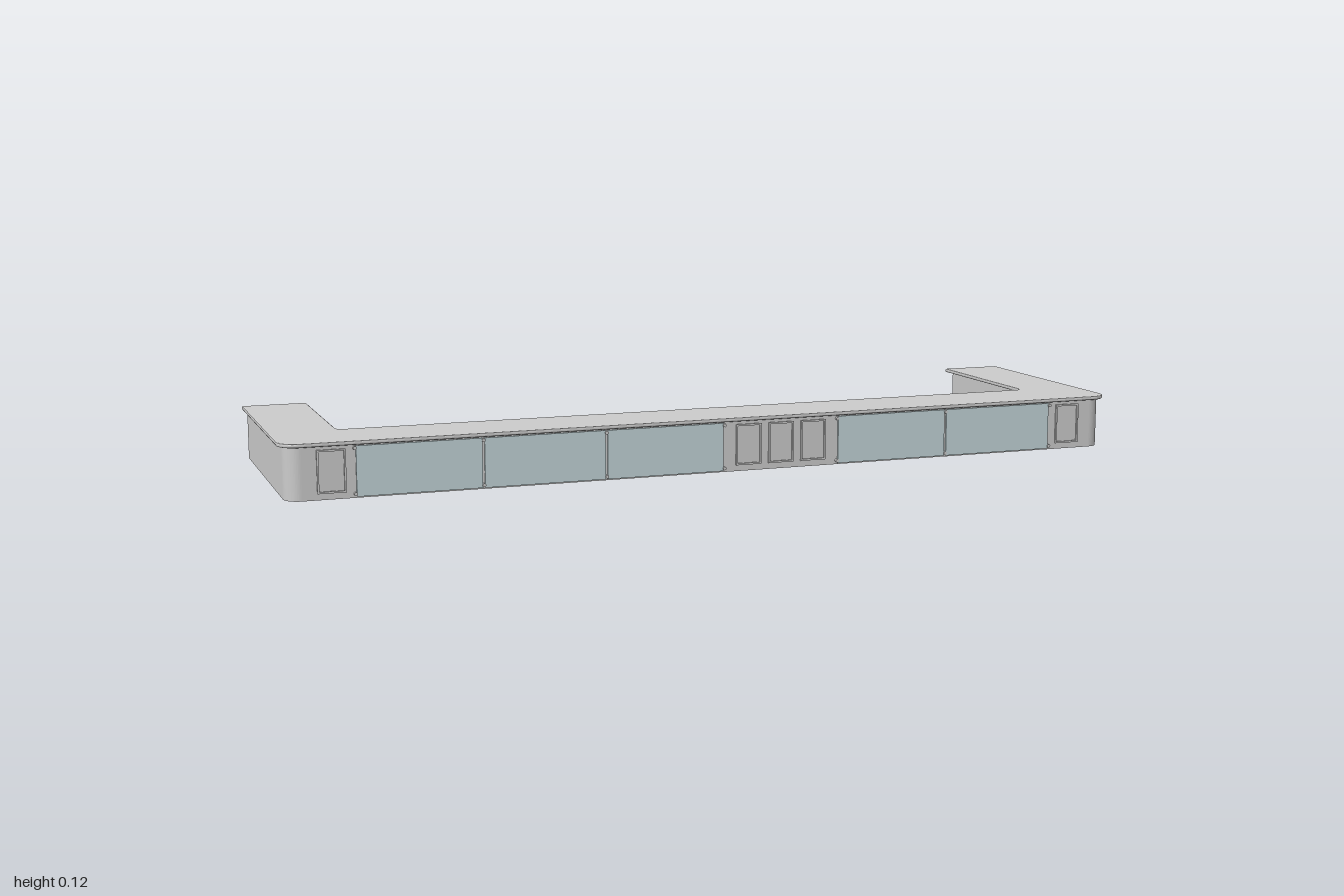
import * as THREE from 'three';

const grey = new THREE.MeshStandardMaterial({ color: 0xcccccc, side: THREE.DoubleSide });
const glass = new THREE.MeshStandardMaterial({ color: 0xc2d4d8 });
const BACK = -0.28;
const BODY_H = 0.116;
const PITCH = 0.28;

export function createModel() {
  const group = new THREE.Group();

  const add = (name, geometry, x = 0, y = 0, z = 0, material = grey) => {
    const mesh = new THREE.Mesh(geometry, material);
    mesh.name = name;
    mesh.position.set(x, y, z);
    group.add(mesh);
    return mesh;
  };
  const box = (name, w, h, d, x, y, z, material) =>
    add(name, new THREE.BoxGeometry(w, h, d), x, y, z, material);

  // U-shaped path in plan: back end, round the two front corners, other back end
  const uPoints = (hx, front, r, back = BACK) => {
    const p = new THREE.Path();
    p.moveTo(-hx, back);
    p.lineTo(-hx, front - r);
    p.absarc(-hx + r, front - r, r, Math.PI, Math.PI / 2, true);
    p.lineTo(hx - r, front);
    p.absarc(hx - r, front - r, r, Math.PI / 2, 0, true);
    p.lineTo(hx, back);
    return p.getPoints(8);
  };
  // Plan shape (x, z) raised into a solid from y0 by h
  const slab = (name, points, y0, h, bevel = 0) => {
    const g = new THREE.ExtrudeGeometry(new THREE.Shape(points), {
      depth: h - 2 * bevel, bevelEnabled: bevel > 0,
      bevelSize: bevel, bevelThickness: bevel, bevelSegments: 2,
    });
    g.rotateX(Math.PI / 2);
    return add(name, g, 0, y0 + h - bevel, 0);
  };
  const band = (outer, inner) => [...outer, ...inner.reverse()];

  // Countertop with a softly rounded edge
  const b = 0.003;
  slab('countertop',
    band(uPoints(1 - b, 0.28 - b, 0.04, BACK + b), uPoints(0.85 + b, 0.12 + b, 0.02, BACK + b)),
    BODY_H, 0.009, b);

  // Hollow body: base and outer wall, open at both arm ends
  slab('base', band(uPoints(0.988, 0.268, 0.035), uPoints(0.872, 0.143, 0.03)), 0, 0.004);
  slab('outerWall', band(uPoints(0.988, 0.268, 0.035), uPoints(0.985, 0.265, 0.032)), 0, BODY_H);

  // Inner arm walls, each turning the corner towards the back wall
  for (const s of [1, -1]) {
    const side = (hx, front, r) =>
      uPoints(hx, front, r).filter(p => p.x > 0.8).map(p => new THREE.Vector2(s * p.x, p.y));
    slab(s > 0 ? 'innerWallLeft' : 'innerWallRight',
      band(side(0.872, 0.143, 0.03), side(0.875, 0.146, 0.033)), 0, BODY_H);
  }

  // Back wall with two rows of shelf openings
  const bays = [-0.7, -0.42, -0.14, 0.42, 0.7];
  const rect = (target, x0, x1, y0, y1) => {
    target.moveTo(x0, y0);
    target.lineTo(x1, y0);
    target.lineTo(x1, y1);
    target.lineTo(x0, y1);
    target.closePath();
    return target;
  };
  const wall = rect(new THREE.Shape(), -0.842, 0.842, 0, BODY_H);
  for (const x of bays)
    for (const [y0, y1] of [[0.01, 0.055], [0.062, 0.108]])
      wall.holes.push(rect(new THREE.Path(), x - 0.131, x + 0.131, y0, y1));
  add('backWall', new THREE.ExtrudeGeometry(wall, { depth: 0.004, bevelEnabled: false }), 0, 0, 0.143);

  // Shelves, bay floors and dividers inside the body
  for (const x of bays) {
    box('shelf', 0.266, 0.006, 0.118, x, 0.0585, 0.206);
    box('bayFloor', 0.266, 0.006, 0.118, x, 0.007, 0.206);
    for (const s of [1, -1])
      box('divider', 0.004, 0.11, 0.118, x + s * 0.133, 0.059, 0.206);
  }

  // Front glass panels
  for (const x of bays)
    box('frontPanel', PITCH - 0.005, 0.11, 0.004, x, 0.058, 0.27, glass);

  // Stand-off studs at the panel joints
  const stud = new THREE.CylinderGeometry(0.004, 0.004, 0.008, 12).rotateX(Math.PI / 2);
  for (let i = -3; i <= 3; i++)
    for (const y of [0.009, 0.108]) add('panelStud', stud, i * PITCH, y, 0.271);

  // Raised rectangular trim on the solid parts of the front
  const frame = rect(new THREE.Shape(), -0.031, 0.031, -0.047, 0.047);
  frame.holes.push(rect(new THREE.Path(), -0.027, 0.027, -0.043, 0.043));
  const trim = new THREE.ExtrudeGeometry(frame, { depth: 0.004, bevelEnabled: false });
  for (const x of [-0.89, 0.06, 0.14, 0.22, 0.89]) add('trimFrame', trim, x, 0.061, 0.268);

  return group;
}
